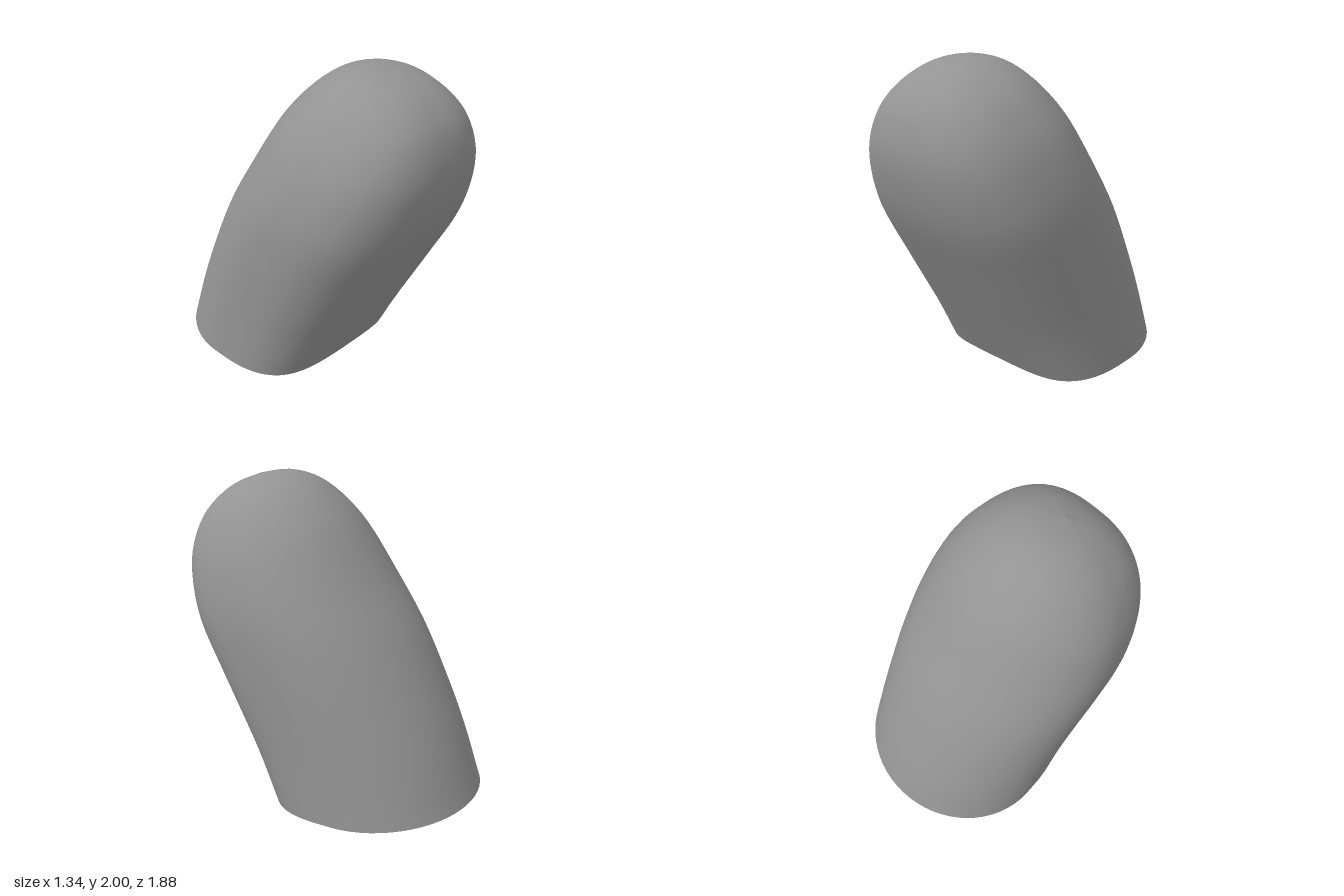
import * as THREE from 'three';

// Cross-sections from rim to tip: [front z, front y, back z, back y, half width]
const SECTIONS = [
  [0.27, 0.005, -0.94, 0.08, 0.66],
  [0.42, 0.31, -0.81, 0.45, 0.655],
  [0.55, 0.545, -0.68, 0.74, 0.66],
  [0.68, 0.78, -0.50, 1.085, 0.667],
  [0.84, 1.08, -0.30, 1.38, 0.66],
  [0.915, 1.30, -0.12, 1.645, 0.61],
  [0.942, 1.49, -0.02, 1.767, 0.545],
  [0.915, 1.667, 0.12, 1.894, 0.44],
  [0.86, 1.78, 0.25, 1.97, 0.33],
  [0.75, 1.89, 0.41, 2.00, 0.19],
  [0.60, 1.97, 0.60, 1.97, 0],
];

// Leaning, open-ended shell lofted through the sections
function shellGeometry(sides = 64, rows = 40) {
  const front = new THREE.CatmullRomCurve3(SECTIONS.map(s => new THREE.Vector3(s[4], s[1], s[0])));
  const back = new THREE.CatmullRomCurve3(SECTIONS.map(s => new THREE.Vector3(s[4], s[3], s[2])));
  const positions = [], index = [];
  for (let r = 0; r <= rows; r++) {
    const t = r / rows;
    const f = front.getPoint(t), b = back.getPoint(t);
    for (let i = 0; i < sides; i++) {
      const a = (i / sides) * Math.PI * 2;
      const c = Math.cos(a), s = Math.sin(a);
      // The front half is squarer than the round back, most of all near the rim
      const n = c > 0 ? 3 - 0.6 * t : 2;
      const bend = v => Math.sign(v) * Math.abs(v) ** (2 / n);
      const k = (1 + bend(c)) / 2;
      // The rim rises a little at the front centre
      const lift = c > 0 ? 0.04 * bend(c) ** 10 * Math.max(0, 1 - t * 10) : 0;
      positions.push(f.x * bend(s), b.y + (f.y - b.y) * k + lift, b.z + (f.z - b.z) * k);
      if (r < rows) {
        const p = r * sides + i, q = r * sides + (i + 1) % sides;
        index.push(p, q, p + sides);
        if (r < rows - 1) index.push(q, q + sides, p + sides);
      }
    }
  }
  const geometry = new THREE.BufferGeometry();
  geometry.setAttribute('position', new THREE.Float32BufferAttribute(positions, 3));
  geometry.setIndex(index);
  geometry.computeVertexNormals();
  return geometry;
}

export function createModel() {
  const group = new THREE.Group();
  group.name = 'fingertip';

  const shell = new THREE.Mesh(
    shellGeometry(),
    new THREE.MeshStandardMaterial({ color: 0x939393, side: THREE.DoubleSide })
  );
  shell.name = 'shell';
  group.add(shell);

  // Small pivot ball in the middle of the opening
  const ball = new THREE.Mesh(
    new THREE.SphereGeometry(0.035, 20, 14),
    new THREE.MeshStandardMaterial({ color: 0x939393 })
  );
  ball.name = 'pivotBall';
  ball.position.set(0, 0.035, -0.285);
  group.add(ball);

  return group;
}
